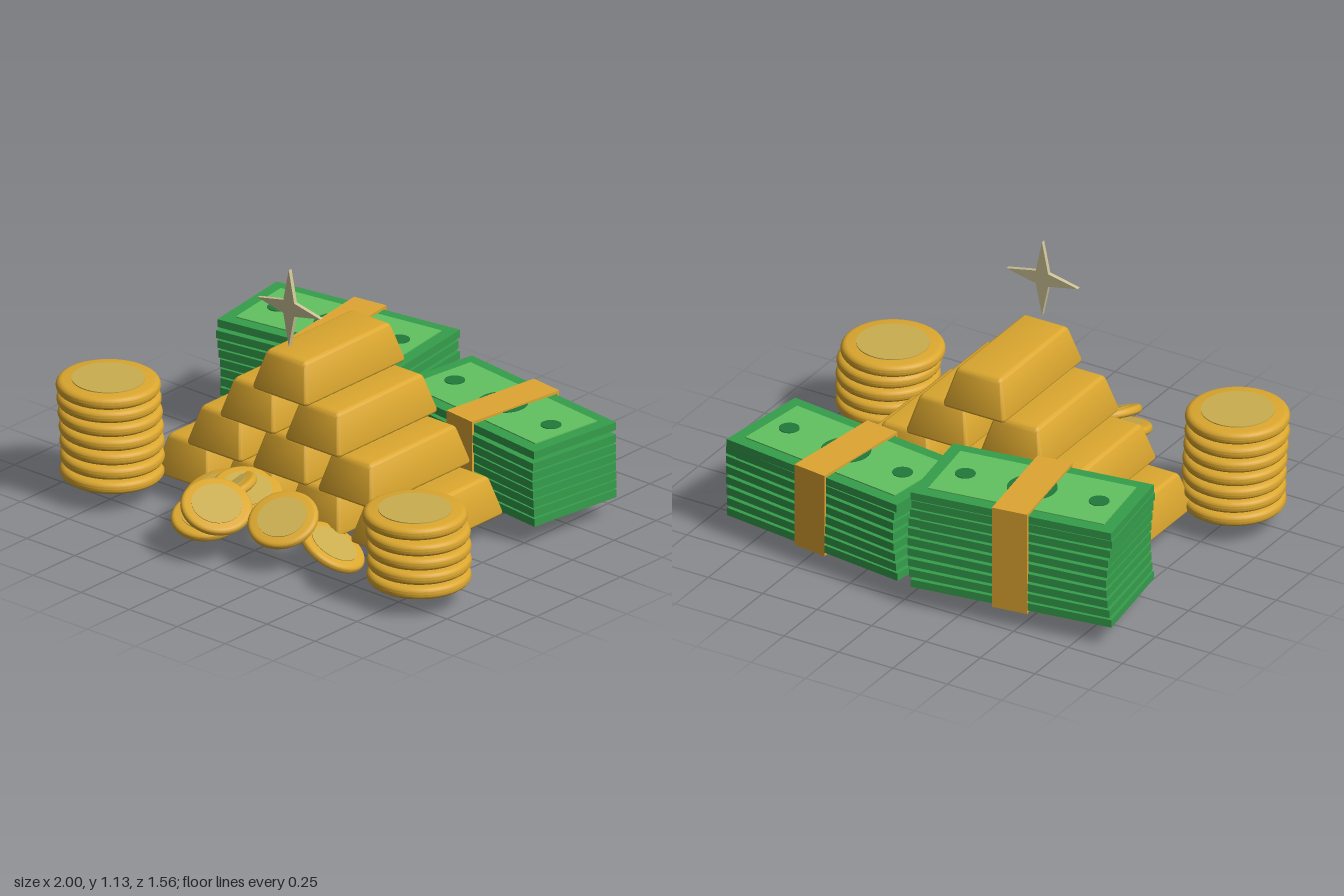
import * as THREE from 'three';
import { toCreasedNormals } from 'three/addons/utils/BufferGeometryUtils.js';
import { RoundedBoxGeometry } from 'three/addons/geometries/RoundedBoxGeometry.js';

const material = (name, color) => {
  const m = new THREE.MeshStandardMaterial({ color });
  m.name = name;
  return m;
};

export function createModel() {
  const gold = material('gold', 0xdba72f);
  const paleGold = material('pale gold', 0xcbae50);
  const noteGreen = material('note green', 0x359e4c);
  const lightGreen = material('light green', 0x63c261);
  const darkGreen = material('dark green', 0x217a3c);
  const bandOrange = material('band orange', 0xdea532);
  const sparkleCream = material('sparkle cream', 0xcfc498);

  const model = new THREE.Group();
  model.name = 'treasurePile';

  const add = (parent, name, geometry, mat, x = 0, y = 0, z = 0) => {
    const mesh = new THREE.Mesh(geometry, mat);
    mesh.name = name;
    mesh.position.set(x, y, z);
    parent.add(mesh);
    return mesh;
  };
  const addGroup = (parent, name) => {
    const group = new THREE.Group();
    group.name = name;
    parent.add(group);
    return group;
  };
  // Repeatable small offset between -1 and 1
  const wobble = (n) => Math.sin(n * 12.9898 + 1.7);

  // Gold bars: rounded box tapered towards the top, stacked 4-3-2-1
  const BAR_H = 0.17;
  let barGeometry = new RoundedBoxGeometry(0.295, BAR_H, 0.61, 3, 0.022);
  const p = barGeometry.attributes.position;
  for (let i = 0; i < p.count; i++) {
    const t = p.getY(i) / BAR_H + 0.5;
    p.setX(i, p.getX(i) * (1 - 0.31 * t));
    p.setZ(i, p.getZ(i) * (1 - 0.16 * t));
  }
  barGeometry = toCreasedNormals(barGeometry, 0.6);
  const bars = addGroup(model, 'goldBars');
  for (let row = 0; row < 4; row++) {
    const count = 4 - row;
    for (let i = 0; i < count; i++) {
      const x = -0.015 + (i - (count - 1) / 2) * 0.34;
      add(bars, 'goldBar', barGeometry, gold, x, 0.09 + BAR_H * (row + 0.5), 0.04);
    }
  }

  // Coin: lathed body with rounded rim and a raised disc on both faces
  const profile = [new THREE.Vector2(0, -0.026)];
  for (let i = 0; i <= 8; i++) {
    const a = -Math.PI / 2 + (i / 8) * Math.PI;
    profile.push(new THREE.Vector2(0.181 + 0.026 * Math.cos(a), 0.026 * Math.sin(a)));
  }
  profile.push(new THREE.Vector2(0, 0.026));
  const coinGeometry = toCreasedNormals(new THREE.LatheGeometry(profile, 40), 0.6);
  const discGeometry = new THREE.CylinderGeometry(0.145, 0.145, 0.008, 40);
  const addCoin = (parent, x, y, z, scale = 1, normal = [0, 1, 0]) => {
    const coin = addGroup(parent, 'coin');
    add(coin, 'coinBody', coinGeometry, gold);
    for (const s of [-1, 1]) add(coin, 'coinFace', discGeometry, paleGold, 0, s * 0.026, 0);
    coin.position.set(x, y, z);
    coin.scale.setScalar(scale);
    coin.quaternion.setFromUnitVectors(
      new THREE.Vector3(0, 1, 0), new THREE.Vector3(...normal).normalize());
  };

  // Two coin stacks
  const addStack = (name, count, x, z, topX, topZ) => {
    const stack = addGroup(model, name);
    for (let i = 0; i < count; i++) {
      const top = i === count - 1;
      addCoin(stack, top ? topX : x + 0.008 * wobble(i), 0.115 + i * 0.0605,
        top ? topZ : z + 0.01 * wobble(i + 20));
    }
  };
  addStack('rightCoinStack', 7, -0.785, 0.465, -0.787, 0.47);
  addStack('leftCoinStack', 5, 0.785, 0.435, 0.765, 0.42);

  // Loose coins in front
  const loose = addGroup(model, 'looseCoins');
  [
    [-0.23, 0.18, 0.45, [-0.12, 0.95, 0.25]],
    [-0.11, 0.2, 0.42, [0.25, 0.95, 0.15]],
    [-0.19, 0.2, 0.47, [-0.35, 0.9, 0.15]],
    [-0.13, 0.16, 0.635, [0.12, 0.95, 0.25]],
    [-0.09, 0.21, 0.625, [0.36, 0.88, 0.25]],
    [0.17, 0.195, 0.525, [0.12, 0.86, 0.45]],
    [0.325, 0.085, 0.41, [0.45, 0.87, -0.2]],
  ].forEach(([x, y, z, n]) => addCoin(loose, x, y, z, 0.69, n));

  // Banknote bundles: loosely stacked sheets, printed top and a paper band
  const addBundle = (name, sheets, x, z, turn) => {
    const bundle = addGroup(model, name);
    bundle.position.set(x, 0.09, z);
    bundle.rotation.y = turn;
    const pitch = 0.0425;
    const height = sheets * pitch;
    const sheetGeometry = new THREE.BoxGeometry(0.855, 0.033, 0.43);
    for (let i = 0; i < sheets; i++) {
      const top = i === sheets - 1;
      const k = top ? 0 : 1;
      const sheet = add(bundle, 'noteSheet', sheetGeometry, noteGreen,
        k * 0.014 * wobble(i + sheets), (i + 0.5) * pitch, k * 0.012 * wobble(i + 7));
      sheet.rotation.y = k * 0.02 * wobble(i + 3);
    }
    // Dark core closes the gaps between sheets
    add(bundle, 'noteCore', new THREE.BoxGeometry(0.8, height - 0.02, 0.38), noteGreen, 0, height / 2, 0);
    const topY = height - 0.005;
    add(bundle, 'notePanel', new THREE.BoxGeometry(0.75, 0.006, 0.325), lightGreen, 0, topY + 0.002, 0);
    for (const [cx, r] of [[-0.285, 0.041], [0, 0.1], [0.285, 0.041]]) {
      add(bundle, 'noteRoundel', new THREE.CylinderGeometry(r, r, 0.004, 28), darkGreen, cx, topY + 0.006, 0);
    }
    // Band as four thin strips
    const w = 0.15, d = 0.458, t = 0.012;
    for (const y of [-0.004, height + 0.004]) {
      add(bundle, 'paperBand', new THREE.BoxGeometry(w, t, d), bandOrange, 0, y, 0);
    }
    for (const s of [-1, 1]) {
      add(bundle, 'paperBand', new THREE.BoxGeometry(w, height + 0.008 + t, t), bandOrange,
        0, height / 2, s * (d - t) / 2);
    }
  };
  addBundle('rightNoteBundle', 10, -0.435, -0.502, 0.145);
  addBundle('leftNoteBundle', 8, 0.425, -0.495, -0.13);

  // Four-pointed sparkle above the pile
  const star = new THREE.Shape();
  for (let i = 0; i < 8; i++) {
    const a = (i * Math.PI) / 4;
    const r = i % 2 ? 0.04 : 0.164;
    star[i ? 'lineTo' : 'moveTo'](r * Math.cos(a), r * Math.sin(a));
  }
  star.closePath();
  add(model, 'sparkle', new THREE.ExtrudeGeometry(star, { depth: 0.017, bevelEnabled: false }),
    sparkleCream, -0.015, 0.968, 0.262);

  return model;
}
